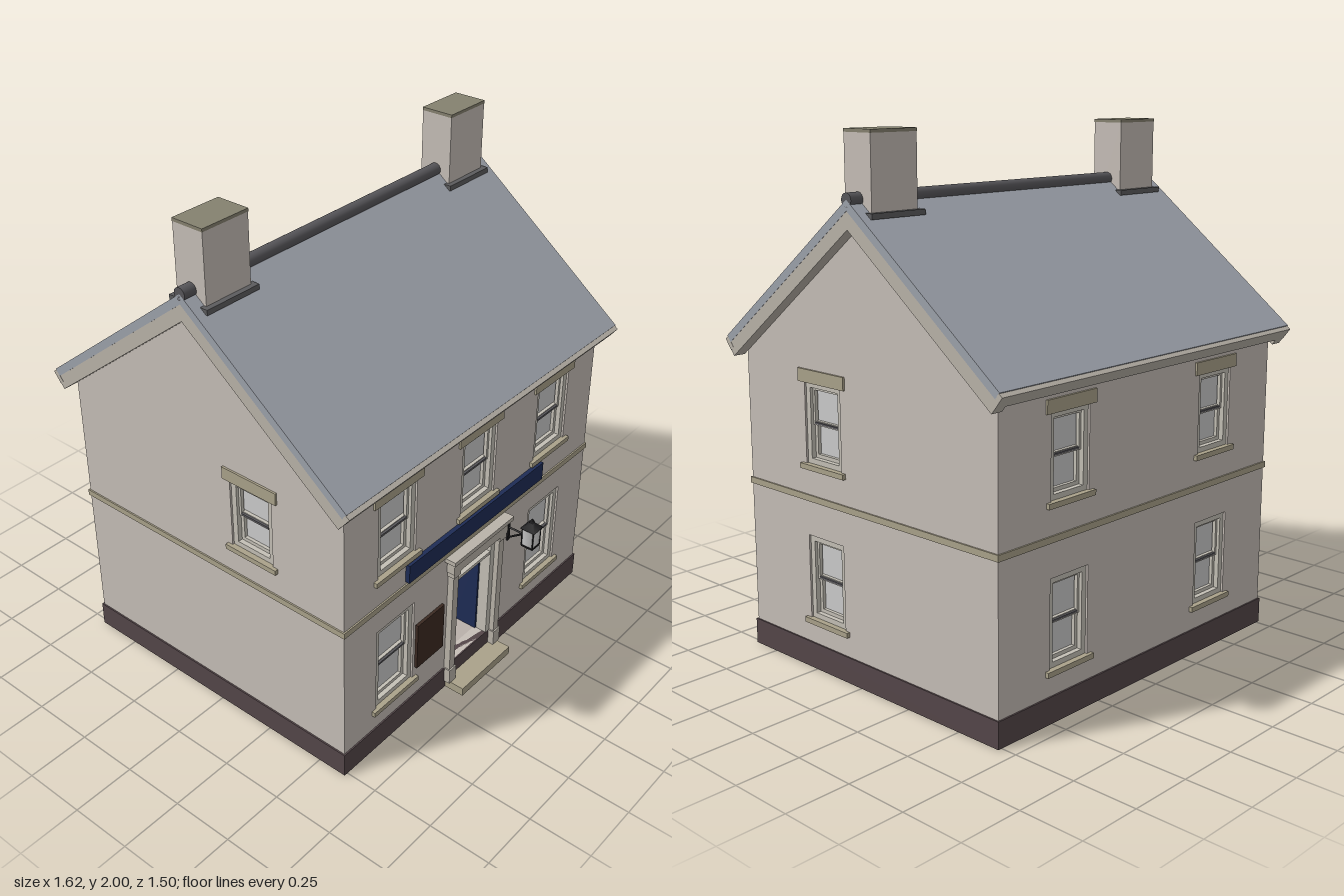
import * as THREE from 'three';

const mat = (color) => new THREE.MeshStandardMaterial({ color });
const M = {
  wall: mat(0xc6beb7), plinth: mat(0x544649), stone: mat(0xaaa28a), trim: mat(0xb9b3a9),
  frame: mat(0xc4c0b6), pane: mat(0xcccccc), slate: mat(0x9da2ab), ridge: mat(0x57565a),
  flashing: mat(0x5c5c5e), cap: mat(0x85816f), navy: mat(0x1e2c55), board: mat(0x3c2a22),
  dark: mat(0x4a463f), floor: mat(0xb9b0aa), iron: mat(0x1b1b1d),
};
const CZ = -0.033, HW = 0.76, HD = 0.648, T = 0.05;   // house centre in z, half width, half depth, wall thickness
const SLOPE = Math.atan(0.778), RIDGE = 1.77;

function add(parent, name, geo, material, x = 0, y = 0, z = 0) {
  const m = new THREE.Mesh(geo, material);
  m.name = name;
  m.position.set(x, y, z);
  parent.add(m);
  return m;
}
// box given by its lower and upper limits
function box(parent, name, material, x0, x1, y0, y1, z0, z1) {
  return add(parent, name, new THREE.BoxGeometry(x1 - x0, y1 - y0, z1 - z0), material,
    (x0 + x1) / 2, (y0 + y1) / 2, (z0 + z1) / 2);
}
function rectPath(path, x0, x1, y0, y1) {
  path.moveTo(x0, y0);
  path.lineTo(x1, y0);
  path.lineTo(x1, y1);
  path.lineTo(x0, y1);
  path.closePath();
  return path;
}
function extrude(shape, depth) {
  return new THREE.ExtrudeGeometry(shape, { depth, bevelEnabled: false });
}
// flat rectangular frame in the xy plane
function frame(parent, name, material, x0, x1, y0, y1, b, z, depth) {
  const s = rectPath(new THREE.Shape(), x0, x1, y0, y1);
  s.holes.push(rectPath(new THREE.Path(), x0 + b, x1 - b, y0 + b, y1 - b));
  return add(parent, name, extrude(s, depth), material, 0, 0, z);
}
// horizontal band around the whole house
function ring(parent, name, material, out, y0, y1) {
  const w = HW + out, d = HD + out;
  const s = rectPath(new THREE.Shape(), -w, w, -d, d);
  s.holes.push(rectPath(new THREE.Path(), -HW + T, HW - T, -HD + T, HD - T));
  const m = add(parent, name, extrude(s, y1 - y0), material, 0, y0, CZ);
  m.rotation.x = -Math.PI / 2;
}

// sash window; local z = 0 is the wall face
function sashWindow(parent, { u, y0, y1, w, lintel }) {
  const g = new THREE.Group();
  g.name = 'sashWindow';
  g.position.x = u;
  parent.add(g);
  const h = w / 2, mid = (y0 + y1) / 2, i = h - 0.022;
  frame(g, 'casing', M.frame, -h, h, y0, y1, 0.022, -0.035, 0.027);
  frame(g, 'upperSash', M.frame, -i, i, mid - 0.008, y1 - 0.022, 0.01, -0.034, 0.014);
  frame(g, 'lowerSash', M.frame, -i, i, y0 + 0.022, mid + 0.006, 0.014, -0.045, 0.018);
  box(g, 'meetingRail', M.ridge, -i + 0.01, i - 0.01, mid - 0.004, mid + 0.003, -0.03, -0.018);
  box(g, 'glass', M.pane, -h, h, y0, y1, -0.046, -0.04);
  box(g, 'sill', M.stone, -h - 0.022, h + 0.022, y0 - 0.018, y0 + 0.002, -0.03, 0.014);
  if (lintel) box(g, 'lintel', M.stone, -h - 0.028, h + 0.028, y1 - 0.003, y1 + 0.046, -0.03, 0.008);
}

// one wall with openings, built facing +z and then turned
function wall(parent, name, angle, outline, windows, door) {
  const g = new THREE.Group();
  g.name = name;
  const dist = Math.abs(Math.sin(angle)) > 0.5 ? HW : HD;
  g.position.set(Math.sin(angle) * dist, 0, CZ + Math.cos(angle) * dist);
  g.rotation.y = angle;
  parent.add(g);
  const s = new THREE.Shape(outline.map(([x, y]) => new THREE.Vector2(x, y)));
  for (const o of windows) {
    s.holes.push(rectPath(new THREE.Path(), o.u - o.w / 2, o.u + o.w / 2, o.y0, o.y1));
    sashWindow(g, o);
  }
  if (door) s.holes.push(rectPath(new THREE.Path(), -0.13, 0.13, 0.1, 0.57));
  add(g, name + 'Masonry', extrude(s, T), M.wall, 0, 0, -T);
  return g;
}

function doorway(g) {
  // local z = 0 is the front wall face
  for (const s of [-1, 1]) {
    const px = s * 0.147;
    box(g, 'doorJamb', M.frame, s * 0.1175 - 0.0125, s * 0.1175 + 0.0125, 0.1, 0.57, -0.045, 0.006);
    box(g, 'pilaster', M.trim, px - 0.016, px + 0.016, 0.035, 0.575, 0, 0.026);
    box(g, 'pilasterBase', M.trim, px - 0.021, px + 0.021, 0.035, 0.1, 0, 0.032);
    box(g, 'pilasterCapital', M.trim, px - 0.021, px + 0.021, 0.555, 0.578, 0, 0.032);
    // door leaves folded back into the hall
    box(g, 'doorLeaf', M.navy, s * 0.101 - 0.004, s * 0.101 + 0.004, 0.102, 0.495, -0.145, -0.04);
  }
  box(g, 'transomBar', M.frame, -0.106, 0.106, 0.495, 0.508, -0.045, 0.004);
  box(g, 'fanlight', M.pane, -0.106, 0.106, 0.508, 0.56, -0.04, -0.03);
  box(g, 'doorHead', M.frame, -0.106, 0.106, 0.555, 0.57, -0.045, 0.006);
  box(g, 'entablature', M.trim, -0.172, 0.172, 0.576, 0.632, 0, 0.034);
  box(g, 'cornice', M.trim, -0.188, 0.188, 0.632, 0.65, 0, 0.048);
  box(g, 'doorstep', M.stone, -0.158, 0.158, 0, 0.035, 0, 0.09);
}

function lantern(parent) {
  const g = new THREE.Group();
  g.name = 'wallLantern';
  g.position.set(0.225, 0, 0.722);
  parent.add(g);
  const taper = (name, rt, rb, h, m, y) => {
    add(g, name, new THREE.CylinderGeometry(rt, rb, h, 4).rotateY(Math.PI / 4), m, 0, y, 0);
  };
  taper('lanternGlass', 0.037, 0.033, 0.08, M.pane, 0.563);
  taper('lanternFoot', 0.037, 0.037, 0.007, M.iron, 0.522);
  taper('lanternRoof', 0.012, 0.046, 0.024, M.iron, 0.615);
  taper('lanternFinial', 0.004, 0.012, 0.016, M.iron, 0.635);
  for (const x of [-1, 1]) for (const z of [-1, 1])
    box(g, 'lanternBar', M.iron, x * 0.025 - 0.002, x * 0.025 + 0.002, 0.522, 0.604, z * 0.025 - 0.002, z * 0.025 + 0.002);
  const rod = (a, b) => add(g, 'bracket', new THREE.TubeGeometry(
    new THREE.LineCurve3(new THREE.Vector3(0, ...a), new THREE.Vector3(0, ...b)), 1, 0.004, 6), M.iron);
  rod([0.556, -0.11], [0.556, -0.024]);
  rod([0.503, -0.108], [0.556, -0.035]);
  box(g, 'bracketPlate', M.iron, -0.007, 0.007, 0.495, 0.57, -0.108, -0.1);
}

function roofSide(parent, turn) {
  const side = new THREE.Group();
  side.name = turn ? 'backRoof' : 'frontRoof';
  side.position.set(0, RIDGE, CZ);
  side.rotation.y = turn;
  parent.add(side);
  const g = new THREE.Group();
  g.name = 'roofSlope';
  g.rotation.x = SLOPE;
  side.add(g);
  box(g, 'slates', M.slate, -0.81, 0.81, -0.03, 0, 0, 0.89);
  box(g, 'fascia', M.trim, -0.81, 0.81, -0.055, -0.004, 0.888, 0.908);
  for (const s of [-1, 1])
    box(g, 'bargeBoard', M.trim, s * 0.785 - 0.024, s * 0.785 + 0.024, -0.08, -0.028, 0, 0.907);
}

export function createModel() {
  const house = new THREE.Group();
  house.name = 'house';

  // walls
  const top = 1.2, peak = 1.71, e = HW - T;
  const flat = [[-e, 0.09], [e, 0.09], [e, top], [-e, top]];
  const gable = [[-HD, 0.09], [HD, 0.09], [HD, top], [0, peak], [-HD, top]];
  const upper = (u) => ({ u, y0: 0.792, y1: 1.108, w: 0.21, lintel: true });
  const lower = (u) => ({ u, y0: 0.19, y1: 0.555, w: 0.215 });
  const small = (u, y0, y1, lintel) => ({ u, y0, y1, w: 0.195, lintel });
  const front = wall(house, 'frontWall', 0, flat,
    [upper(-0.475), upper(0), upper(0.475), lower(-0.475), lower(0.475)], true);
  wall(house, 'backWall', Math.PI, flat, [-0.41, 0.41].flatMap((u) =>
    [small(u, 0.792, 1.1, true), small(u, 0.195, 0.525)]));
  wall(house, 'leftWall', Math.PI / 2, gable,
    [small(-0.218, 0.792, 1.1, true), small(-0.218, 0.195, 0.52)]);
  wall(house, 'rightWall', -Math.PI / 2, gable, [small(0.228, 0.792, 1.075, true)]);
  ring(house, 'plinth', M.plinth, 0.006, 0, 0.1);
  ring(house, 'stringCourse', M.stone, 0.006, 0.652, 0.676);

  // hall seen through the doorway
  box(house, 'baseSlab', M.dark, -e, e, 0.005, 0.05, CZ - HD + T, CZ + HD - T);
  box(house, 'hallFloor', M.floor, -e, e, 0.05, 0.098, CZ - HD + T, CZ + HD - T);
  box(house, 'hallBackPanel', M.dark, -0.4, 0.4, 0.098, 0.65, CZ - HD + T, CZ - HD + T + 0.01);

  // entrance and wall fittings
  doorway(front);
  box(front, 'signBoard', M.navy, -0.424, 0.42, 0.687, 0.764, 0, 0.018);
  box(front, 'noticeBoard', M.board, -0.355, -0.194, 0.235, 0.44, 0, 0.012);
  lantern(house);

  // roof
  roofSide(house, 0);
  roofSide(house, Math.PI);
  const ridge = add(house, 'ridgeTile', new THREE.CylinderGeometry(0.025, 0.025, 1.62, 16), M.ridge, 0, 1.768, CZ);
  ridge.rotation.z = Math.PI / 2;

  // chimneys
  for (const s of [-1, 1]) {
    const x = s * 0.653;
    box(house, 'chimneyStack', M.wall, x - 0.104, x + 0.104, 1.62, 1.988, CZ - 0.067, CZ + 0.067);
    box(house, 'chimneyCap', M.cap, x - 0.105, x + 0.105, 1.988, 2, CZ - 0.068, CZ + 0.068);
    box(house, 'chimneyFlashing', M.flashing, x - 0.122, x + 0.122, 1.706, 1.726, CZ - 0.088, CZ + 0.088);
  }
  return house;
}
